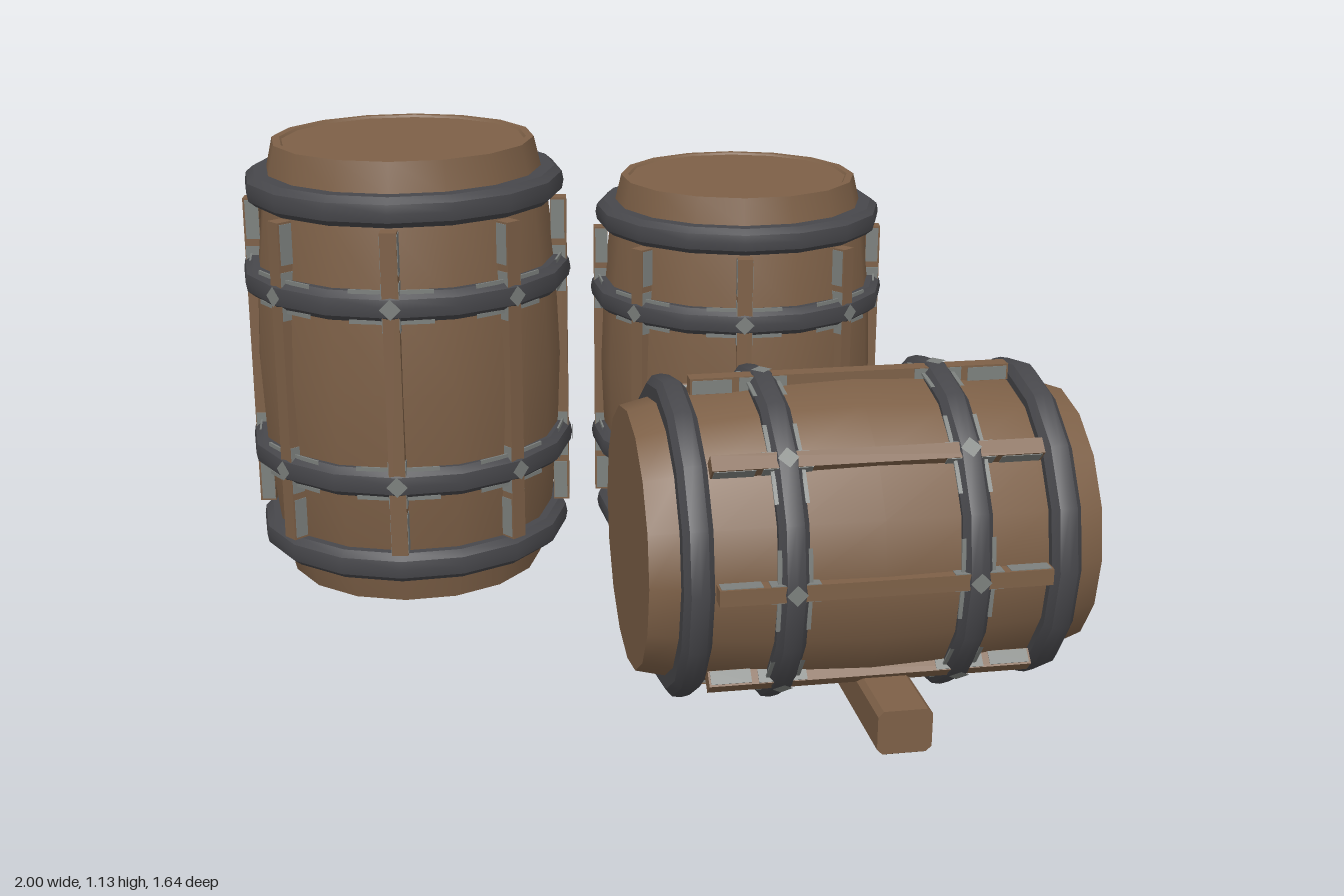
import * as THREE from 'three';
import { toCreasedNormals } from 'three/addons/utils/BufferGeometryUtils.js';

const SIDES = 16;

function material(name, color) {
  const m = new THREE.MeshStandardMaterial({ color });
  m.name = name;
  return m;
}

export function createModel() {
  const wood = material('wood', 0x7d6047);
  const iron = material('dark iron', 0x47474b);
  const worn = material('worn metal', 0x7c807d);
  const black = material('black', 0x080808);

  const add = (parent, name, geometry, mat) => {
    const mesh = new THREE.Mesh(geometry, mat);
    mesh.name = name;
    parent.add(mesh);
    return mesh;
  };
  // Turned surface from [radius, height] pairs, smooth around and sharp at the rims
  const lathe = (pairs, start = 0, length = Math.PI * 2, sides = SIDES) => toCreasedNormals(
    new THREE.LatheGeometry(pairs.map(([r, y]) => new THREE.Vector2(r, y)), sides, start, length), 0.6);

  // Closed band with a rounded outer face
  const hoopProfile = (outer, y) => [
    [outer - 0.065, y - 0.037], [outer - 0.022, y - 0.037], [outer - 0.004, y - 0.022], [outer, y],
    [outer - 0.004, y + 0.022], [outer - 0.022, y + 0.037], [outer - 0.065, y + 0.037],
  ];

  // Upright barrel centred on its own origin
  function barrel(name, bottomMaterial) {
    const g = new THREE.Group();
    g.name = name;

    // Bulging body with a slightly recessed lid
    add(g, 'body', lathe([
      [0.327, -0.5575], [0.345, -0.48], [0.36, -0.4], [0.381, -0.22], [0.39, 0],
      [0.381, 0.22], [0.36, 0.4], [0.345, 0.48], [0.327, 0.5575],
      [0.308, 0.5575], [0.303, 0.552], [0, 0.552],
    ]), wood);
    const base = add(g, 'base', new THREE.CircleGeometry(0.327, SIDES), bottomMaterial);
    base.rotation.x = Math.PI / 2;
    base.position.y = -0.5575;

    // Four hoops, the inner pair wider
    for (const s of [-1, 1]) {
      add(g, 'endHoop', lathe(hoopProfile(0.4, s * 0.4475)), iron);
      add(g, 'middleHoop', lathe(hoopProfile(0.415, s * 0.2225)), iron);
    }

    // Eight raised slats, with worn metal where they cross the hoops
    for (let i = 0; i < 8; i++) {
      const angle = i * Math.PI / 4;
      const arm = new THREE.Group();
      arm.name = 'slatGroup';
      arm.rotation.y = angle;
      g.add(arm);
      add(arm, 'slat', new THREE.BoxGeometry(0.04, 0.81, 0.04), wood).position.z = 0.386;
      for (const s of [-1, 1]) {
        const y = s * 0.2225;
        add(arm, 'slatWear', new THREE.BoxGeometry(0.044, 0.12, 0.036), worn).position.set(0, y, 0.386);
        const patch = add(arm, 'hoopWear', new THREE.CircleGeometry(0.026, 4), worn);
        patch.position.set(0, y, 0.4165);
        for (const e of [-1, 1]) {
          const edge = y + e * 0.037;
          add(g, 'hoopEdgeWear', lathe([
            [0.391, edge - 0.005], [0.396, edge - 0.005], [0.396, edge + 0.005], [0.391, edge + 0.005],
          ], angle - 0.26, 0.52, 2), worn);
        }
        // Worn flank at each slat end
        add(arm, 'slatFlankWear', new THREE.BoxGeometry(0.043, 0.1, 0.034), worn)
          .position.set(0, s * 0.35, 0.384);
      }
    }
    return g;
  }

  const model = new THREE.Group();
  model.name = 'barrelStack';

  const large = barrel('largeBarrel', iron);
  large.position.set(-0.585, 0.5725, -0.325);
  model.add(large);

  const small = barrel('smallBarrel', iron);
  small.scale.set(0.915, 0.892, 0.915);
  small.position.set(0.26, 0.5125, -0.44);
  model.add(small);

  const lying = barrel('lyingBarrel', wood);
  lying.scale.set(0.905, 0.892, 0.905);
  lying.rotation.set(0, 0.15, -Math.PI / 2);
  lying.position.set(0.46, 0.376, 0.4);
  // Dark gap beside the end hoop
  add(lying, 'hoopGap', lathe([[0.378, 0.4875], [0.34, 0.4875]], -1.22, 0.9, 5), black);
  model.add(lying);

  // Bevelled wedge block under the lying barrel
  const block = new THREE.Group();
  block.name = 'chock';
  const bevel = 0.012, w = 0.06, h = 0.05, len = 0.59;
  const shape = new THREE.Shape([
    [-w + bevel, -h], [w - bevel, -h], [w, -h + bevel], [w, h - bevel],
    [w - bevel, h], [-w + bevel, h], [-w, h - bevel], [-w, -h + bevel],
  ].map(([x, y]) => new THREE.Vector2(x, y)));
  const bar = new THREE.ExtrudeGeometry(shape, { depth: len, bevelEnabled: false });
  bar.translate(0, 0, -len / 2);
  add(block, 'chockBar', bar, wood);
  add(block, 'chockUnderside', new THREE.BoxGeometry(0.09, 0.004, len - 0.01), black).position.y = -h - 0.001;
  block.position.set(0.51, 0.067, 0.52);
  block.rotation.y = 0.15;
  model.add(block);

  return model;
}
